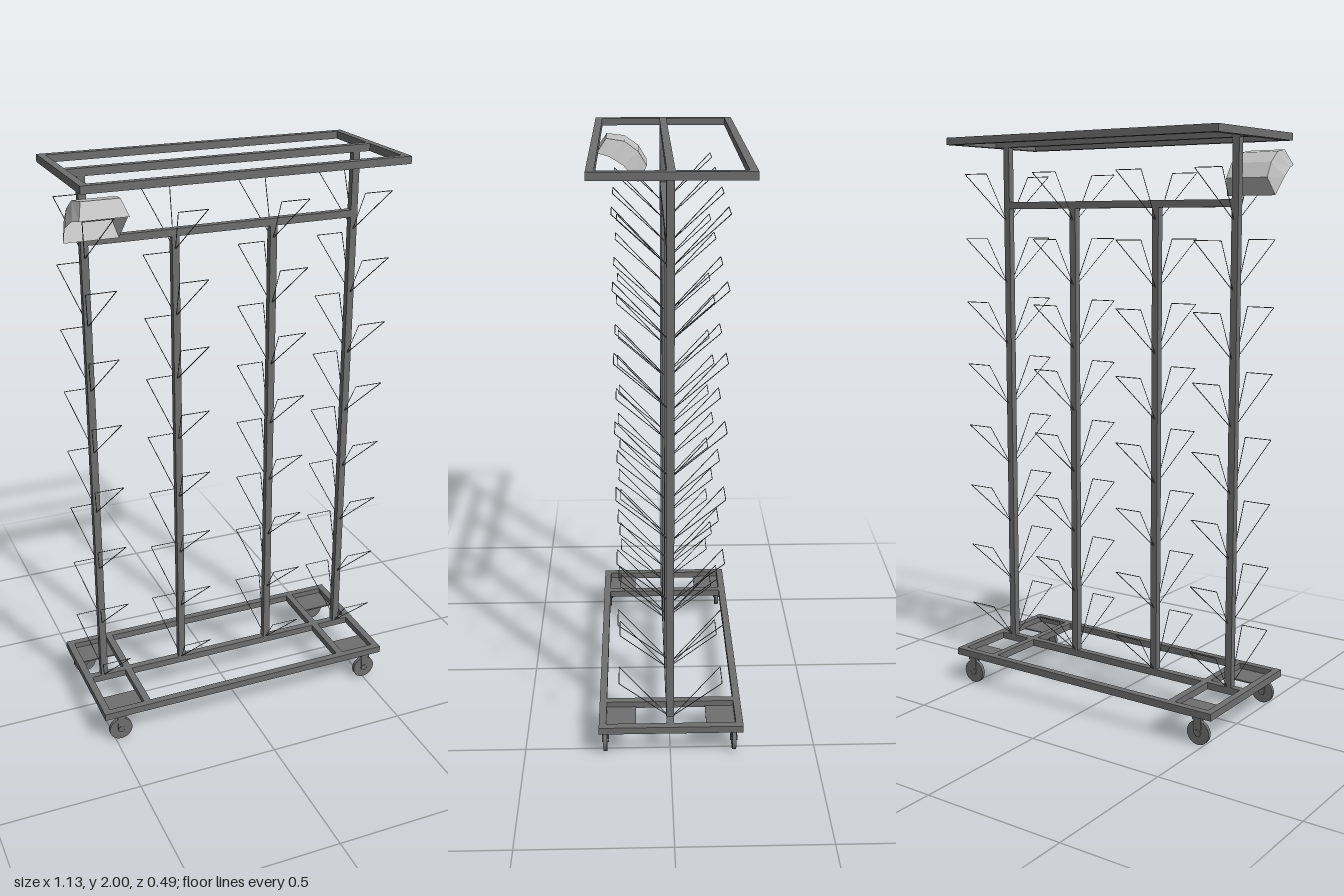
import * as THREE from 'three';

const steel = new THREE.MeshStandardMaterial({ color: 0x6f6f6f });
steel.name = 'steel grey';
const shell = new THREE.MeshStandardMaterial({ color: 0xc2c2c2, side: THREE.DoubleSide, flatShading: true });
shell.name = 'light grey shell';

const T = 0.025; // square tube size
const X0 = -0.54, X1 = 0.563, Z0 = -0.248, Z1 = 0.244;

function box(parent, name, x0, x1, y0, y1, z0, z1) {
  const m = new THREE.Mesh(new THREE.BoxGeometry(x1 - x0, y1 - y0, z1 - z0), steel);
  m.position.set((x0 + x1) / 2, (y0 + y1) / 2, (z0 + z1) / 2);
  m.name = name;
  parent.add(m);
  return m;
}

// Rectangular tube frame with a rail along the middle
function frame(name, y) {
  const g = new THREE.Group();
  g.name = name;
  box(g, 'backRail', X0, X1, y, y + T, Z0, Z0 + T);
  box(g, 'frontRail', X0, X1, y, y + T, Z1 - T, Z1);
  box(g, 'middleRail', X0 + T, X1 - T, y, y + T, -T / 2, T / 2);
  box(g, 'rightRail', X0, X0 + T, y, y + T, Z0 + T, Z1 - T);
  box(g, 'leftRail', X1 - T, X1, y, y + T, Z0 + T, Z1 - T);
  return g;
}

// Thin wire between two points
function wire(parent, a, b) {
  const d = b.clone().sub(a);
  const m = new THREE.Mesh(new THREE.CylinderGeometry(0.0014, 0.0014, d.length(), 4), steel);
  m.position.copy(a).add(b).multiplyScalar(0.5);
  m.quaternion.setFromUnitVectors(new THREE.Vector3(0, 1, 0), d.normalize());
  m.name = 'wire';
  parent.add(m);
}

// Triangular wire holder sloping up and away from its post
function holder(x, y, side) {
  const g = new THREE.Group();
  g.name = 'wireHolder';
  const apex = new THREE.Vector3(x, y, side * 0.008);
  const a = new THREE.Vector3(x - 0.05, y + 0.164, side * 0.173);
  const b = new THREE.Vector3(x + 0.05, y + 0.164, side * 0.173);
  wire(g, apex, a);
  wire(g, a, b);
  wire(g, b, apex);
  return g;
}

function caster(x, z) {
  const g = new THREE.Group();
  g.name = 'caster';
  const disc = (name, r, w) => {
    const m = new THREE.Mesh(new THREE.CylinderGeometry(r, r, w, 24), steel);
    m.rotation.x = Math.PI / 2;
    m.position.y = 0.042;
    m.name = name;
    g.add(m);
  };
  disc('wheel', 0.042, 0.013);
  disc('hub', 0.012, 0.024);
  for (const s of [-1, 1]) box(g, 'forkSide', -0.012, 0.014, 0.04, 0.09, s * 0.009 - 0.0015, s * 0.009 + 0.0015);
  box(g, 'forkTop', -0.012, 0.02, 0.086, 0.105, -0.0105, 0.0105);
  g.position.set(x, 0, z);
  return g;
}

// Curved open-bottomed cover built from four cross-sections, closed at both ends
function cover() {
  // top z, top y, top half width, rim z, rim y, rim half width
  const sections = [
    [0.205, 1.945, 0.062, 0.24, 1.895, 0.078],
    [0.14, 1.936, 0.07, 0.195, 1.885, 0.088],
    [0.09, 1.9, 0.074, 0.145, 1.855, 0.096],
    [0.06, 1.85, 0.076, 0.092, 1.793, 0.09],
  ];
  const pos = [], idx = [];
  for (const [tz, ty, tw, rz, ry, rw] of sections) {
    pos.push(-rw, ry, rz, -tw, ty, tz, tw, ty, tz, rw, ry, rz);
  }
  const quad = (a, b, c, d) => idx.push(a, b, c, a, c, d);
  for (let i = 0; i < sections.length - 1; i++) {
    for (let j = 0; j < 3; j++) {
      const k = i * 4 + j;
      quad(k, k + 1, k + 5, k + 4);
    }
  }
  quad(0, 3, 2, 1);
  quad(12, 13, 14, 15);
  let geo = new THREE.BufferGeometry();
  geo.setAttribute('position', new THREE.Float32BufferAttribute(pos, 3));
  geo.setIndex(idx);
  geo = geo.toNonIndexed();
  geo.computeVertexNormals();
  const m = new THREE.Mesh(geo, shell);
  m.position.x = -0.468;
  m.name = 'curvedCover';
  return m;
}

export function createModel() {
  const model = new THREE.Group();
  model.name = 'rollingRack';

  // Top and base frames
  model.add(frame('topFrame', 2 - T));
  const base = frame('baseFrame', 0.103);
  for (const x of [-0.3745, 0.4]) {
    box(base, 'crossRail', x - T / 2, x + T / 2, 0.103, 0.128, Z0 + T, Z1 - T);
  }

  // Corner plates carrying the casters
  for (const [x0, x1, wx] of [[-0.515, -0.387, -0.479], [0.4125, 0.538, 0.503]]) {
    box(base, 'cornerPlate', x0, x1, 0.103, 0.108, Z0 + T, -0.124);
    box(base, 'cornerPlate', x0, x1, 0.103, 0.108, 0.118, Z1 - T);
    for (const z of [-0.22, 0.224]) model.add(caster(wx, z));
  }
  model.add(base);

  // Posts, crossbar and rows of wire holders on both sides
  const posts = [-0.468, -0.161, 0.189, 0.49];
  posts.forEach((x, i) => {
    const end = i === 0 || i === 3;
    box(model, 'post', x - T / 2, x + T / 2, 0.128, end ? 1.975 : 1.755, -T / 2, T / 2);
    for (let row = 0; row < 8; row++) {
      const y = 0.126 + row * 0.2265;
      model.add(holder(x, y, 1), holder(x + (end ? 0.006 : 0), y, -1));
    }
  });
  box(model, 'crossbar', posts[0] + T / 2, posts[3] - T / 2, 1.755, 1.78, -T / 2, T / 2);

  model.add(cover());
  return model;
}
